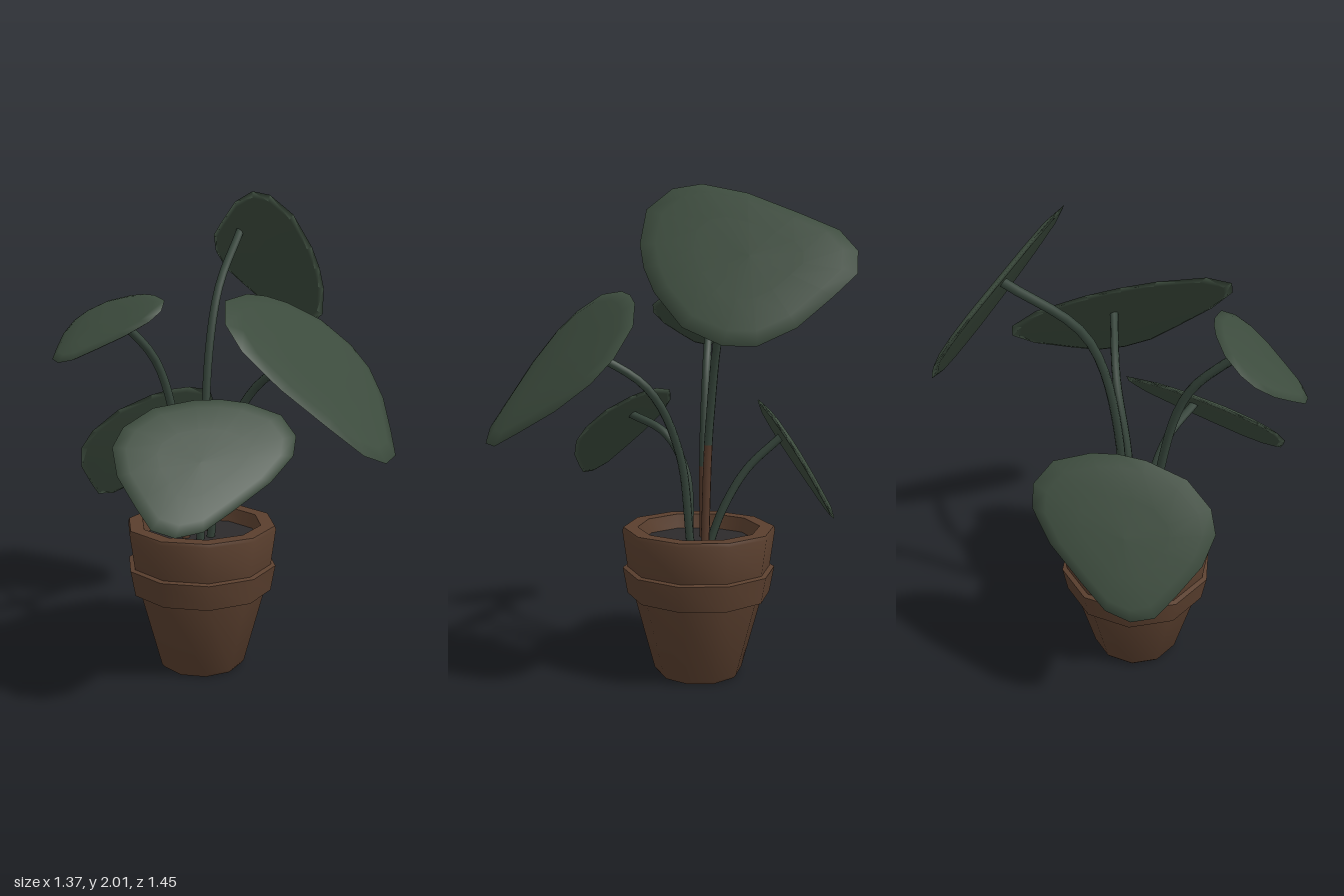
import * as THREE from 'three';
import { toCreasedNormals } from 'three/addons/utils/BufferGeometryUtils.js';

const material = (name, color) => {
  const m = new THREE.MeshStandardMaterial({ color });
  m.name = name;
  return m;
};

// One side of the shared leaf outline: [along, across], base at -1 and tip at 1
const LEAF_SIDE = [[-0.97, 0.3], [-0.81, 0.73], [-0.5, 0.97], [-0.2, 1], [0.2, 0.83], [0.62, 0.51], [0.91, 0.27]];
const LEAF_OUTLINE = [[-1, 0], ...LEAF_SIDE, [1, 0], ...LEAF_SIDE.map(([u, v]) => [u, -v]).reverse()];

// Leaf section from top centre over the rim to bottom centre: [scale, offset along normal]
const LEAF_RINGS = [[0, 0.022], [0.5, 0.02], [0.85, 0.013], [1, 0], [0.92, -0.007], [0, -0.007]];

// Thin domed blade; centre, tip and side vectors are in x,z and the plane is y = a + b*x + c*z
function leafGeometry(centre, tip, side, [a, b, c]) {
  const n = LEAF_OUTLINE.length;
  const normal = new THREE.Vector3(-b, 1, -c).normalize();
  const positions = [], index = [];
  LEAF_RINGS.forEach(([scale, offset], r) => {
    LEAF_OUTLINE.forEach(([u, v], i) => {
      const [x, z] = [0, 1].map((k) => centre[k] + scale * (u * tip[k] + v * side[k]));
      const p = new THREE.Vector3(x, a + b * x + c * z, z).addScaledVector(normal, offset);
      positions.push(p.x, p.y, p.z);
      if (r === 0) return;
      const j = (i + 1) % n, inner = (r - 1) * n, outer = r * n;
      if (r > 1) index.push(inner + i, inner + j, outer + i);
      if (r < LEAF_RINGS.length - 1) index.push(inner + j, outer + j, outer + i);
    });
  });
  const geometry = new THREE.BufferGeometry();
  geometry.setAttribute('position', new THREE.Float32BufferAttribute(positions, 3));
  geometry.setIndex(index);
  geometry.computeVertexNormals();
  return geometry;
}

// Curved tube whose lower fraction uses the second material
function stemGeometry(path, brown) {
  const curve = new THREE.CatmullRomCurve3(path.map((p) => new THREE.Vector3(...p)));
  const segments = 20, sides = 7;
  const geometry = new THREE.TubeGeometry(curve, segments, 0.018, sides);
  const split = Math.round(segments * brown) * sides * 6;
  geometry.addGroup(0, split, 1);
  geometry.addGroup(split, segments * sides * 6 - split, 0);
  return geometry;
}

export function createModel() {
  const leafGreen = material('leaf green', 0x3c4b3d);
  const stemGreen = material('stem green', 0x35443a);
  const stemBrown = material('stem brown', 0x553a2b);
  const clay = material('clay brown', 0x5a3f2e);
  const earth = material('dark soil', 0x2c2a2b);

  const model = new THREE.Group();
  model.name = 'pottedPlant';
  const add = (parent, name, geometry, mat) => {
    const mesh = new THREE.Mesh(geometry, mat);
    mesh.name = name;
    parent.add(mesh);
    return mesh;
  };

  // Ten-sided pot with a stepped collar and hollow rim
  const planter = new THREE.Group();
  planter.name = 'planter';
  planter.position.set(-0.045, 0, -0.145);
  model.add(planter);
  const profile = [[0, 0], [0.175, 0], [0.187, 0.015], [0.275, 0.34], [0.302, 0.345], [0.322, 0.455],
    [0.302, 0.46], [0.323, 0.615], [0.318, 0.63], [0.258, 0.63], [0.238, 0.54]]
    .map(([r, y]) => new THREE.Vector2(r, y));
  add(planter, 'pot', toCreasedNormals(new THREE.LatheGeometry(profile, 10), 0.9), clay);

  // Soil disc
  const soil = new THREE.CircleGeometry(0.243, 10, Math.PI / 2).rotateX(-Math.PI / 2);
  add(planter, 'soil', soil, earth).position.y = 0.57;

  // A leaf on its stem
  const addArm = (name, leaf, stem, brown = 0) => {
    const arm = new THREE.Group();
    arm.name = name + 'Arm';
    model.add(arm);
    add(arm, name + 'Leaf', leafGeometry(...leaf), leafGreen);
    add(arm, name + 'Stem', stemGeometry(stem, brown), [stemGreen, stemBrown]);
  };
  addArm('front',
    [[0.075, 0.43], [0.025, 0.29], [0.46, -0.09], [1.752, -0.367, -0.98]],
    [[-0.025, 0.55, -0.11], [0, 0.95, -0.06], [0.06, 1.22, 0.07], [0.1, 1.39, 0.33]]);
  addArm('left',
    [[0.47, -0.287], [0.05, -0.378], [-0.22, 0.08], [2.316, -1.429, -0.266]],
    [[0.03, 0.55, -0.165], [0.02, 1.1, -0.185], [0.13, 1.57, -0.235], [0.4, 1.85, -0.37]], 0.3);
  addArm('right',
    [[-0.505, -0.19], [-0.18, -0.035], [0.015, 0.22], [1.826, 0.676, 0]],
    [[-0.11, 0.55, -0.17], [-0.14, 0.95, -0.17], [-0.24, 1.33, -0.19], [-0.43, 1.535, -0.22]], 0.3);
  addArm('back',
    [[-0.04, -0.555], [-0.04, -0.17], [-0.345, -0.015], [1.76, 0, 1.53]],
    [[-0.05, 0.55, -0.19], [-0.05, 0.7, -0.245], [-0.055, 0.87, -0.345], [-0.055, 1.01, -0.49]]);
  addArm('frontRight',
    [[-0.355, 0.2], [-0.225, 0.12], [0.29, 0.19], [1.327, 0.467, -0.869]],
    [[-0.08, 0.55, -0.11], [-0.1, 0.85, -0.095], [-0.16, 1.01, -0.01], [-0.26, 1.085, 0.14]]);
  return model;
}
